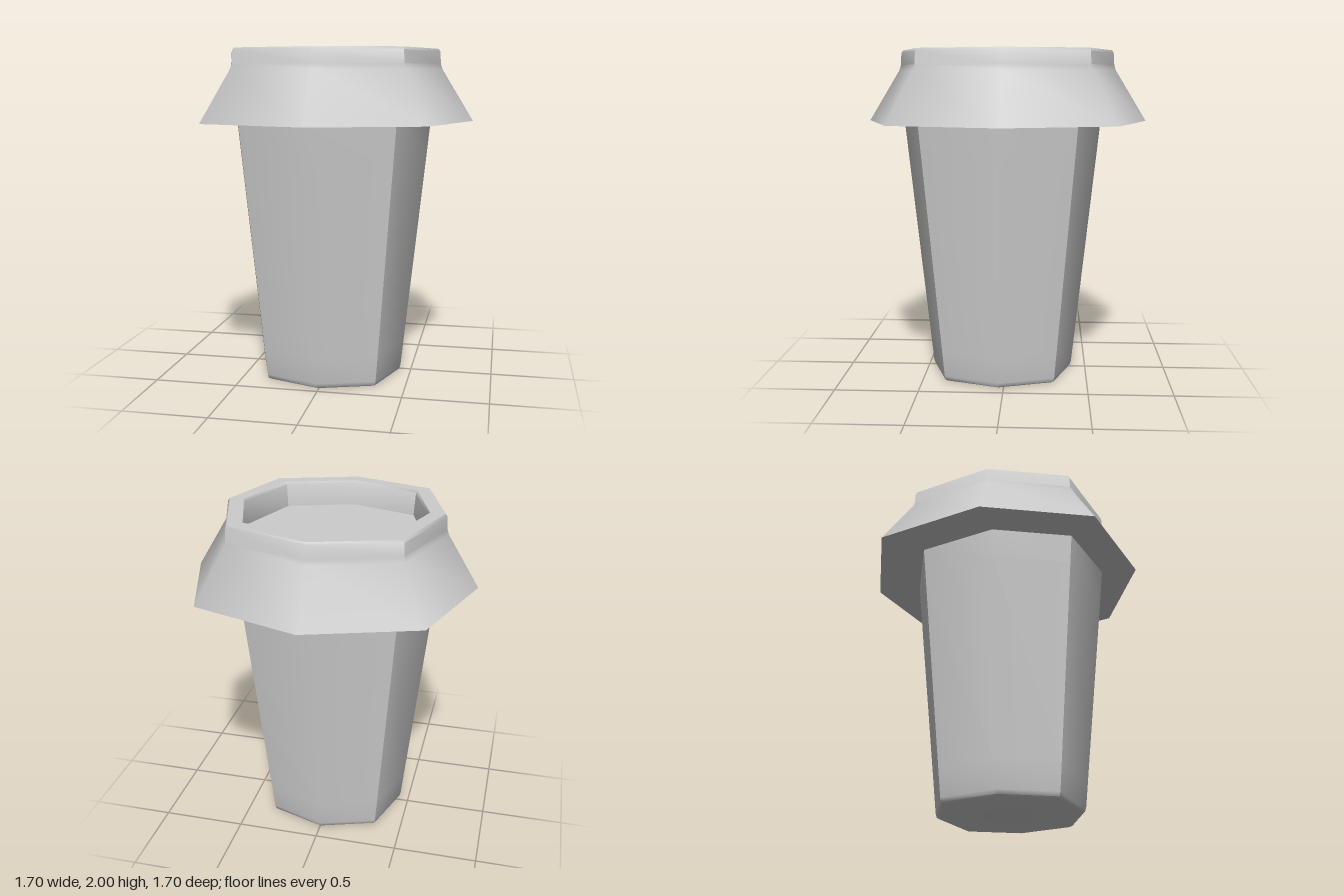
import * as THREE from 'three';
import { mergeVertices, toCreasedNormals } from 'three/addons/utils/BufferGeometryUtils.js';

const material = new THREE.MeshStandardMaterial({ color: 0xcccccc });

// Eight-sided turned part whose diagonal corners sit slightly further out
function octagonPart(name, profile) {
  const points = profile.map(([r, y]) => new THREE.Vector2(r, y));
  let geometry = new THREE.LatheGeometry(points, 8);
  const pos = geometry.attributes.position;
  for (let i = 0; i < pos.count; i++) {
    const x = pos.getX(i), z = pos.getZ(i);
    const k = Math.abs(x * z) > 1e-6 ? 1.064 : 1;
    pos.setXYZ(i, x * k, pos.getY(i), z * k);
  }
  geometry.deleteAttribute('uv');
  geometry.deleteAttribute('normal');
  geometry = toCreasedNormals(mergeVertices(geometry), 0.9);
  const mesh = new THREE.Mesh(geometry, material);
  mesh.name = name;
  return mesh;
}

export function createModel() {
  const group = new THREE.Group();
  group.name = 'lidded cup';

  // Tapered cup with a small bevel round the base, set slightly forward
  const cup = octagonPart('cup', [
    [0, 0.005], [0.415, 0.005], [0.435, 0.015], [0.442, 0.04],
    [0.459, 0.2], [0.587, 1.4], [0.607, 1.59], [0, 1.59],
  ]);
  cup.position.set(-0.005, 0, 0.03);
  group.add(cup);

  // Flared lid: flat underside, sloping skirt, raised rim and sunken top
  group.add(octagonPart('lid', [
    [0, 1.575], [0.85, 1.575], [0.663, 1.88], [0.653, 1.91],
    [0.648, 1.985], [0.638, 2], [0.55, 2], [0.541, 1.985],
    [0.53, 1.85], [0, 1.85],
  ]));

  return group;
}
